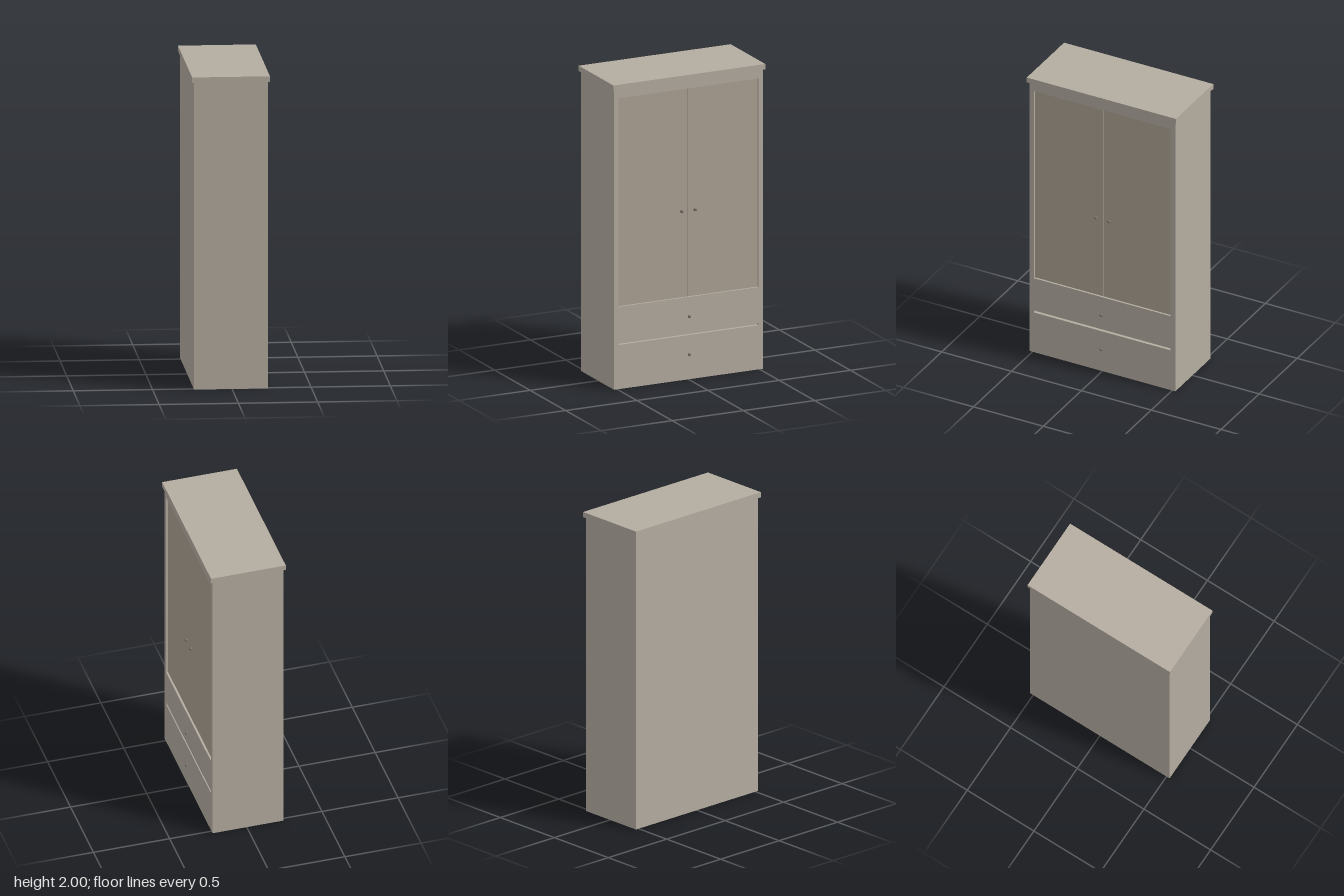
import * as THREE from 'three';

const bodyMat = new THREE.MeshStandardMaterial({ color: 0xb4aca0 });
const doorMat = new THREE.MeshStandardMaterial({ color: 0xaca294 });
const knobMat = new THREE.MeshStandardMaterial({ color: 0x77706a });

const BACK = -0.24, FRONT = 0.225, RECESS = 0.212; // x planes
const HALF = 0.523, INNER = 0.49, TOP = 1.965;

export function createModel() {
  const root = new THREE.Group();
  root.name = 'wardrobe';

  const add = (name, geometry, material) => {
    const mesh = new THREE.Mesh(geometry, material);
    mesh.name = name;
    root.add(mesh);
    return mesh;
  };
  // Box given by its min and max corners
  const box = (name, [x0, y0, z0], [x1, y1, z1], material) =>
    add(name, new THREE.BoxGeometry(x1 - x0, y1 - y0, z1 - z0), material)
      .position.set((x0 + x1) / 2, (y0 + y1) / 2, (z0 + z1) / 2);
  const rect = (path, w, y0, y1) =>
    path.moveTo(-w, y0).lineTo(w, y0).lineTo(w, y1).lineTo(-w, y1).closePath();

  // Carcass behind the face frame
  const coreFront = RECESS - 0.008;
  box('carcass', [BACK, 0, -HALF], [coreFront, TOP, HALF], bodyMat);

  // Face frame with the door opening and the groove between the drawers
  const face = rect(new THREE.Shape(), HALF, 0, TOP);
  for (const [y0, y1] of [[0.54, 1.907], [0.29, 0.306]]) {
    face.holes.push(rect(new THREE.Path(), INNER, y0, y1));
  }
  const frame = new THREE.ExtrudeGeometry(face, { depth: FRONT - coreFront, bevelEnabled: false });
  frame.rotateY(Math.PI / 2).translate(coreFront, 0, 0);
  add('faceFrame', frame, bodyMat);

  // Cornice
  box('cornice', [-0.253, TOP, -0.534], [0.238, 2, 0.534], bodyMat);

  // Pair of recessed doors, each with a knob
  const knob = (name, x, y, z) =>
    add(name, new THREE.SphereGeometry(0.0105, 20, 14), knobMat).position.set(x, y, z);
  for (const [side, s] of [['left', -1], ['right', 1]]) {
    const z = [s * 0.002, s * INNER].sort((a, b) => a - b);
    box(side + 'Door', [coreFront, 0.54, z[0]], [RECESS, 1.907, z[1]], doorMat);
    knob(side + 'DoorKnob', 0.226, 1.107, s * 0.047);
  }

  // Drawer knobs
  knob('upperDrawerKnob', 0.239, 0.416, 0);
  knob('lowerDrawerKnob', 0.239, 0.166, 0);

  return root;
}
